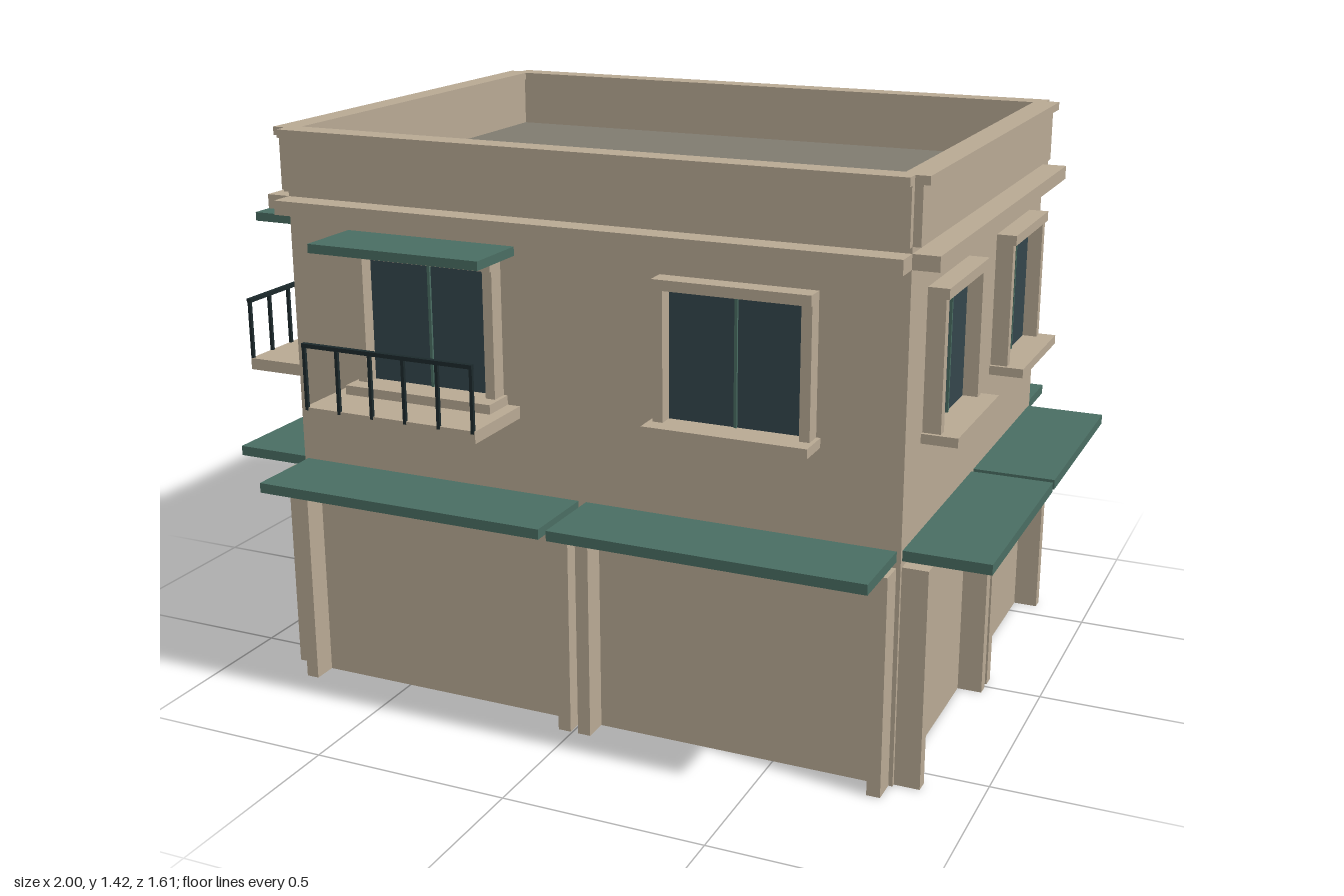
import * as THREE from 'three';

const mat = (name, color) => {
  const m = new THREE.MeshStandardMaterial({ color });
  m.name = name;
  return m;
};

export function createModel() {
  const stucco = mat('tan stucco', 0xb9aa94);
  stucco.side = THREE.DoubleSide;
  const roofGrey = mat('roof grey', 0x807c70);
  roofGrey.side = THREE.DoubleSide;
  const green = mat('awning green', 0x4a6e63);
  const glass = mat('window glass', 0x34464c);
  const iron = mat('railing iron', 0x1c292c);

  const HX = 0.79, HZ = 0.595, WALL_H = 1.275;

  // Box given by its min and max along each axis
  const box = (parent, name, m, [x0, x1], [y0, y1], [z0, z1]) => {
    const mesh = new THREE.Mesh(new THREE.BoxGeometry(x1 - x0, y1 - y0, z1 - z0), m);
    mesh.position.set((x0 + x1) / 2, (y0 + y1) / 2, (z0 + z1) / 2);
    mesh.name = name;
    parent.add(mesh);
    return mesh;
  };
  const span = (c, w) => [c - w / 2, c + w / 2];

  // Glass, mullion and raised surround; w is the glass width
  function addWindow(side, cx, w) {
    const g = new THREE.Group();
    g.name = 'window';
    g.position.x = cx;
    box(g, 'glass', glass, span(0, w), [0.82, 1.13], [0, 0.006]);
    box(g, 'mullion', green, span(0, 0.007), [0.82, 1.13], [0.004, 0.012]);
    for (const s of [-1, 1])
      box(g, 'jamb', stucco, span(s * (w / 2 + 0.0125), 0.025), [0.82, 1.13], [0, 0.043]);
    box(g, 'lintel', stucco, span(0, w + 0.05), [1.13, 1.155], [0, 0.05]);
    box(g, 'sill', stucco, span(0, w + 0.07), [0.797, 0.82], [0, 0.086]);
    side.add(g);
  }

  // Slab, iron railing and small canopy
  function addBalcony(side, cx, w) {
    const g = new THREE.Group();
    g.name = 'balcony';
    g.position.x = cx;
    box(g, 'balconySlab', stucco, span(0, w), [0.767, 0.797], [-0.01, 0.212]);
    box(g, 'balconyCanopy', green, span(0, w - 0.01), [1.163, 1.185], [-0.01, 0.17]);
    box(g, 'topRail', iron, span(0, w - 0.005), [0.945, 0.955], [0.2035, 0.2155]);
    for (let i = 0; i < 6; i++)
      box(g, 'railingPost', iron, span((i / 5 - 0.5) * (w - 0.013), 0.008), [0.79, 0.95], [0.2055, 0.2135]);
    side.add(g);
  }

  // One facade: local x runs along the wall, local z points outward
  function facade(name, half, balconySide) {
    const g = new THREE.Group();
    g.name = name;
    const wall = new THREE.Mesh(new THREE.PlaneGeometry(half * 2, WALL_H), stucco);
    wall.position.y = WALL_H / 2;
    wall.name = 'wall';
    g.add(wall);

    for (const s of [-1, 1]) {
      const cx = s * half / 2, bay = half - 0.02;
      for (const e of [-1, 1])
        box(g, 'pillar', stucco, span(cx + e * (bay / 2 - 0.0165), 0.033), [0, 0.54], [0, 0.062]);
      box(g, 'awning', green, span(cx, bay), [0.555, 0.58], [-0.01, 0.2045]);
      addWindow(g, cx, half === HX ? 0.33 : 0.287);
      if (s === balconySide) addBalcony(g, cx, half === HX ? 0.465 : 0.427);
    }

    const full = [-half, half];
    box(g, 'cornice', stucco, full, [1.22, 1.255], [-0.01, 0.062]);
    box(g, 'parapet', stucco, full, [1.27, 1.405], [-0.022, 0.019]);
    box(g, 'parapetCap', stucco, full, [1.403, 1.423], [-0.029, 0.034]);
    return g;
  }

  const building = new THREE.Group();
  building.name = 'building';
  building.position.set(0.0055, 0, -0.005);

  // Four sides turned about the vertical axis
  const sides = [
    ['frontFacade', HX, HZ, -1],
    ['leftFacade', HZ, HX, 0],
    ['backFacade', HX, HZ, 0],
    ['rightFacade', HZ, HX, 1],
  ];
  sides.forEach(([name, half, dist, balconySide], i) => {
    const f = facade(name, half, balconySide);
    const a = i * Math.PI / 2;
    f.rotation.y = a;
    f.position.set(Math.sin(a) * dist, 0, Math.cos(a) * dist);
    building.add(f);
  });

  // Flat roof inside the parapet
  const roof = new THREE.Mesh(new THREE.PlaneGeometry(HX * 2, HZ * 2), roofGrey);
  roof.rotation.x = -Math.PI / 2;
  roof.position.y = WALL_H;
  roof.name = 'roof';
  building.add(roof);

  const model = new THREE.Group();
  model.name = 'house';
  model.add(building);
  return model;
}
